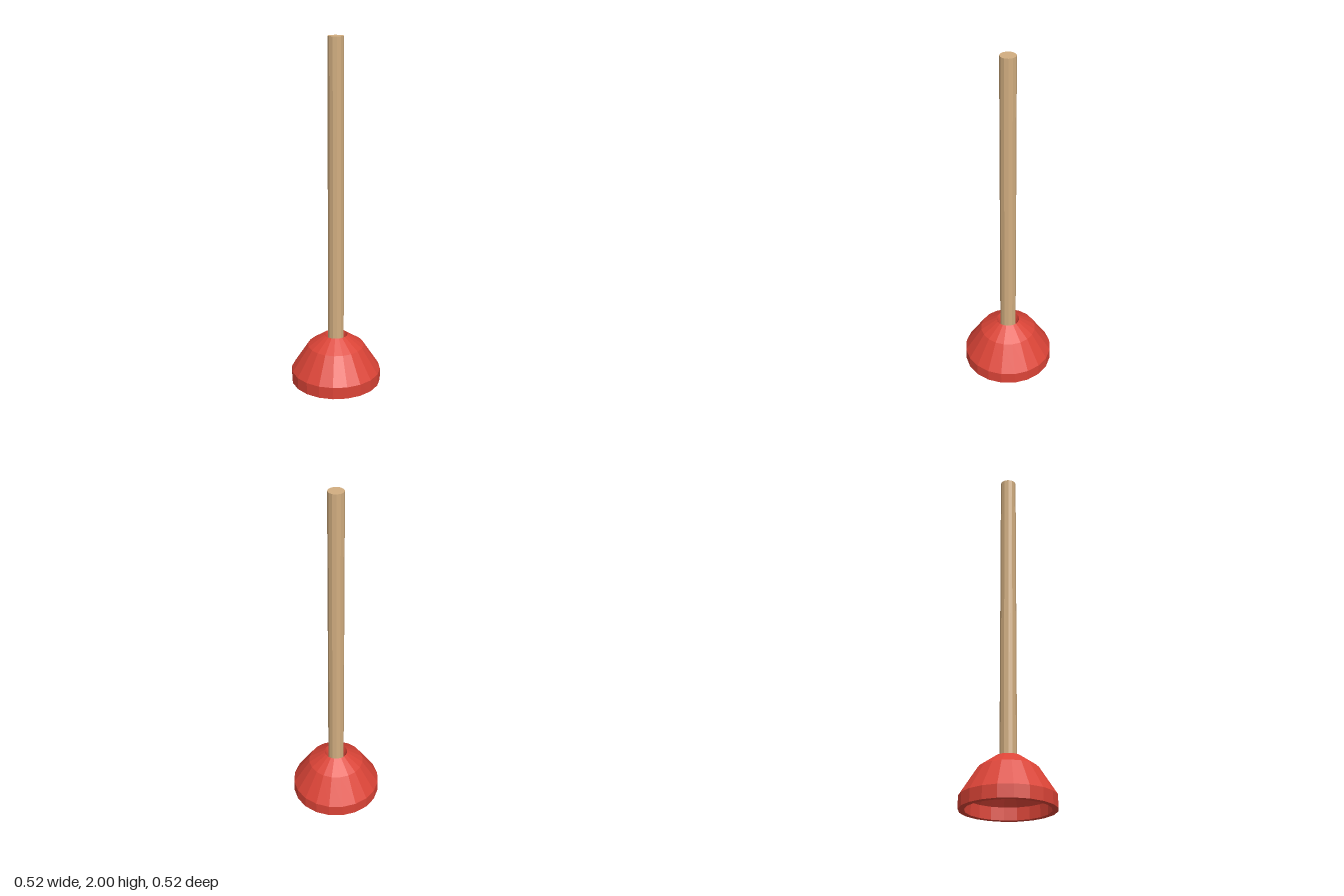
import * as THREE from 'three';

const mat = (color) => new THREE.MeshStandardMaterial({ color, flatShading: true, side: THREE.DoubleSide });

export function createModel() {
  const group = new THREE.Group();

  // Rubber cup: closed wall profile, from the socket floor inside, out under the rim and over the dome
  const profile = [
    [0, 0.19], [0.14, 0.19], [0.228, 0.07], [0.228, 0], [0.26, 0],
    [0.26, 0.07], [0.163, 0.22], [0.068, 0.285], [0.045, 0.225], [0, 0.225],
  ].map(([r, y]) => new THREE.Vector2(r, y));
  const cup = new THREE.Mesh(new THREE.LatheGeometry(profile, 20), mat(0xdb4437));
  cup.name = 'rubberCup';
  group.add(cup);

  // Wooden handle, slightly tapered, seated in the socket
  const bottom = 0.21, top = 2;
  const handle = new THREE.Mesh(new THREE.CylinderGeometry(0.0445, 0.0465, top - bottom, 12), mat(0xd2ae80));
  handle.position.y = (top + bottom) / 2;
  handle.name = 'handle';
  group.add(handle);

  return group;
}
